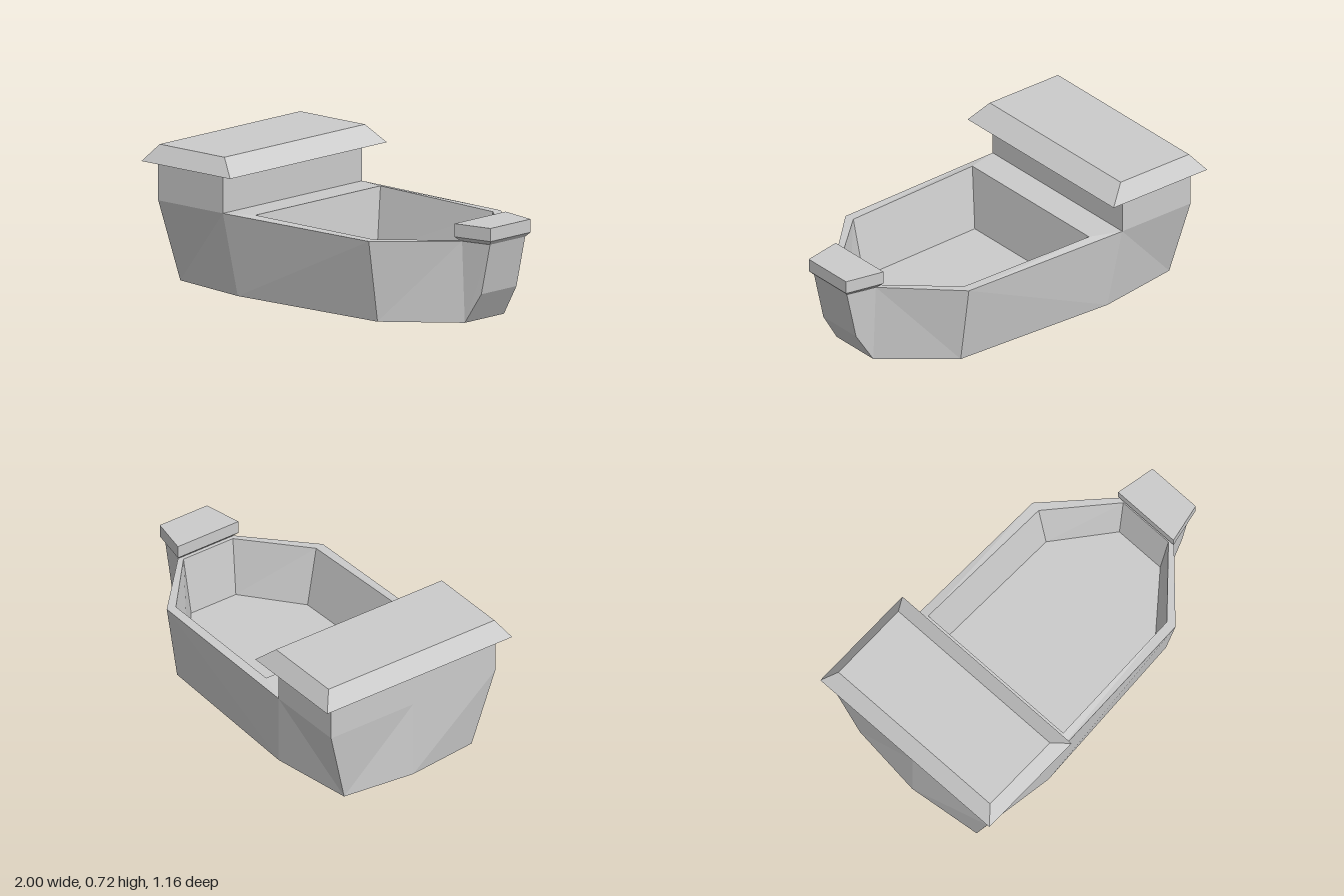
import * as THREE from 'three';

const material = new THREE.MeshStandardMaterial({ color: 0xcccccc, flatShading: true });

// Faceted mesh from polygons, each listed counterclockwise from outside
function facetMesh(name, faces) {
  const pos = [];
  for (const f of faces)
    for (let i = 1; i < f.length - 1; i++) pos.push(...f[0], ...f[i], ...f[i + 1]);
  const g = new THREE.BufferGeometry();
  g.setAttribute('position', new THREE.Float32BufferAttribute(pos, 3));
  g.computeVertexNormals();
  const mesh = new THREE.Mesh(g, material);
  mesh.name = name;
  return mesh;
}

// Adds the opposite side of every +z face
const mirrored = (faces) => [
  ...faces,
  ...faces.map((f) => f.map(([x, y, z]) => [x, y, -z]).reverse()),
];

const mid = ([x, y]) => [x, y, 0];

// Closed loft through tapered rectangles: [y, aft x, aft half width, fore x, fore half width]
function loft(name, sections) {
  const rings = sections.map(([y, xa, za, xf, zf]) =>
    [[xa, y, za], [xf, y, zf], [xf, y, -zf], [xa, y, -za]]);
  const faces = [[...rings[0]].reverse(), rings[rings.length - 1]];
  for (let r = 0; r < rings.length - 1; r++)
    for (let i = 0; i < 4; i++) {
      const j = (i + 1) % 4;
      faces.push([rings[r][i], rings[r][j], rings[r + 1][j], rings[r + 1][i]]);
    }
  return facetMesh(name, faces);
}

export function createModel() {
  const group = new THREE.Group();
  group.name = 'boat';
  const D = 0.425;

  // Half outlines from stern to bow: gunwale, keel, well rim, well floor
  const top = [[-0.945, D, 0.515], [-0.5, D, 0.515], [0.48, D, 0.49], [0.82, D, 0.165]];
  const bottom = [[-0.9, 0, 0.4], [-0.44, 0, 0.47], [0.48, 0, 0.425], [0.82, 0, 0.145]];
  const rim = [[-0.325, 0.434, 0.463], [0.47, D, 0.44], [0.79, D, 0.155]];
  const floor = [[-0.285, 0.115, 0.395], [0.455, 0.115, 0.375], [0.745, 0.115, 0.14]];
  const sternTop = [-0.945, D, 0], sternFoot = [-0.945, 0, 0];

  // Hull sides, stern and bottom
  const hull = [
    [sternFoot, bottom[0], top[0], sternTop],
    [sternFoot, mid(bottom[3]), ...[...bottom].reverse()],
  ];
  for (let i = 0; i < 3; i++)
    hull.push([bottom[i], top[i + 1], top[i]], [bottom[i], bottom[i + 1], top[i + 1]]);
  group.add(facetMesh('hull', mirrored(hull)));

  // Blunt stem at the bow
  const knee = [0.92, 0.16, 0.13], head = [0.98, D, 0.13];
  group.add(facetMesh('stem', mirrored([
    [bottom[3], knee, head, top[3]],
    [bottom[3], mid(bottom[3]), mid(knee), knee],
    [knee, mid(knee), mid(head), head],
  ])));

  // Deck around the open well
  const deck = [
    [top[1], rim[0], mid(rim[0]), mid(top[1])],
    [top[3], mid(top[3]), mid(rim[2]), rim[2]],
  ];
  for (let i = 0; i < 2; i++) deck.push([top[i + 1], top[i + 2], rim[i + 1], rim[i]]);
  deck.push([top[1], top[1 + 1], rim[0]]);
  deck.pop();
  group.add(facetMesh('deck', mirrored(deck)));

  // Sunken well: walls and floor
  const well = [
    [rim[0], floor[0], mid(floor[0]), mid(rim[0])],
    [rim[2], mid(rim[2]), mid(floor[2]), floor[2]],
    [...floor, mid(floor[2]), mid(floor[0])],
  ];
  for (let i = 0; i < 2; i++) well.push([rim[i], rim[i + 1], floor[i + 1], floor[i]]);
  group.add(facetMesh('well', mirrored(well)));

  // Cabin across the stern with an overhanging roof
  group.add(loft('cabin', [[D, -0.945, 0.515, -0.5, 0.515], [0.63, -0.945, 0.515, -0.5, 0.515]]));
  group.add(loft('roof', [[0.63, -1, 0.58, -0.39, 0.58], [0.718, -0.93, 0.52, -0.485, 0.52]]));

  // Flared cap on the stem
  group.add(loft('bowCap', [
    [D, 0.81, 0.165, 0.98, 0.13],
    [0.447, 0.79, 0.19, 1, 0.148],
    [0.515, 0.79, 0.19, 1, 0.148],
  ]));
  return group;
}
